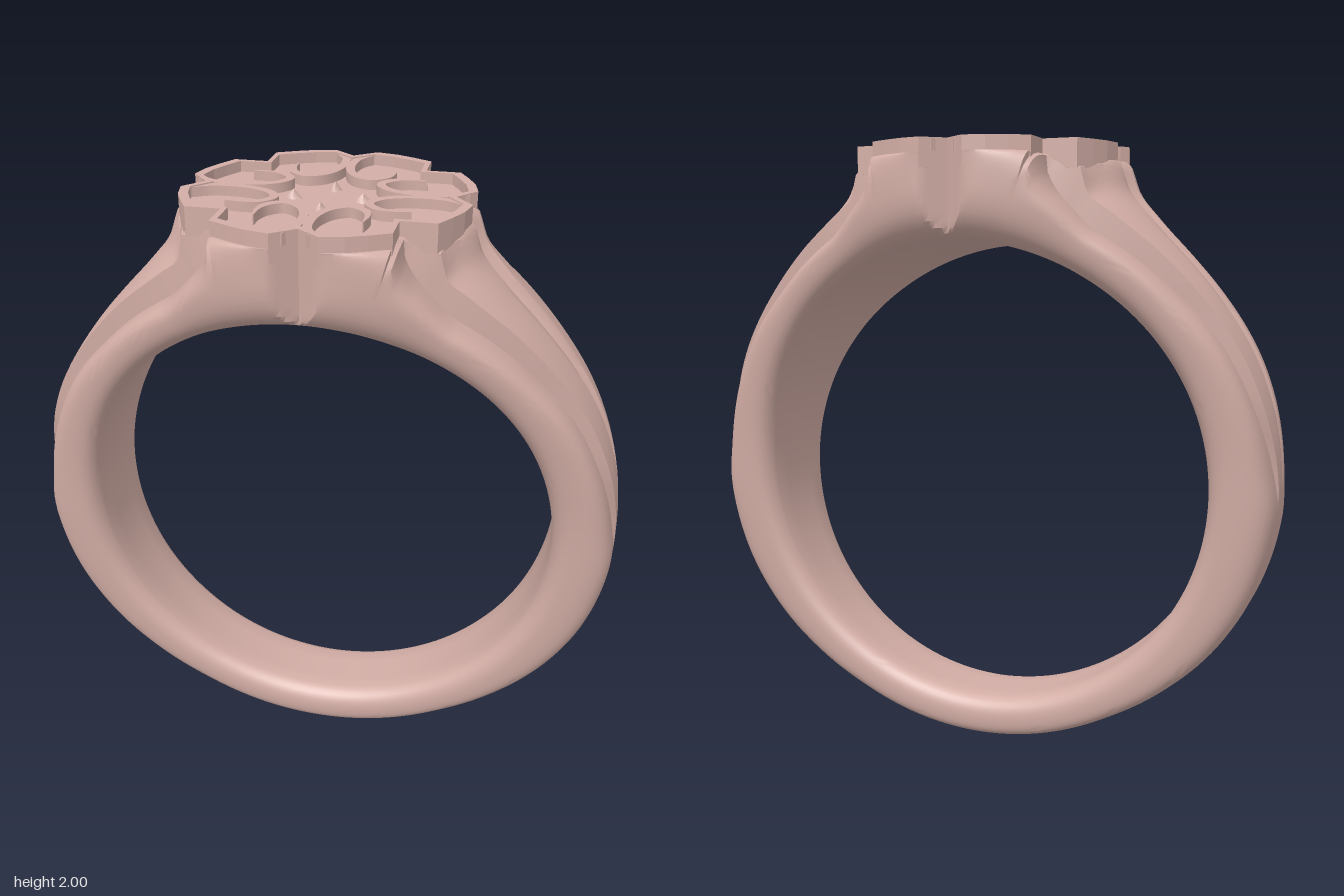
import * as THREE from 'three';
import { toCreasedNormals } from 'three/addons/utils/BufferGeometryUtils.js';

const CY = 0.917, RI = 0.778;          // centre height and radius of the finger hole
const BODY_TOP = 1.955, FLOOR = 1.965, TOP = 2.0;

// Smooth monotone interpolation through [key, value] pairs
function curve(pts) {
  const n = pts.length;
  const s = pts.slice(1).map((p, i) => (p[1] - pts[i][1]) / (p[0] - pts[i][0]));
  const m = pts.map((_, i) => (i === 0 || i === n - 1 || s[i - 1] * s[i] <= 0)
    ? 0 : 2 * s[i - 1] * s[i] / (s[i - 1] + s[i]));
  return (x) => {
    if (x <= pts[0][0]) return pts[0][1];
    if (x >= pts[n - 1][0]) return pts[n - 1][1];
    let i = 0;
    while (x > pts[i + 1][0]) i++;
    const h = pts[i + 1][0] - pts[i][0], t = (x - pts[i][0]) / h, t2 = t * t, t3 = t2 * t;
    return (2 * t3 - 3 * t2 + 1) * pts[i][1] + (t3 - 2 * t2 + t) * h * m[i]
      + (3 * t2 - 2 * t3) * pts[i + 1][1] + (t3 - t2) * h * m[i + 1];
  };
}

// Band measures by angle from the top, in degrees
const crest = curve([[0, 1.2], [22, 1.17], [23, 1.146], [25, 1.105], [27.7, 1.056], [31, 1.03], [38, 1.0],
  [46, 0.987], [54, 0.984], [67, 0.987], [88, 0.985], [97, 0.982], [109, 0.976], [122, 0.96],
  [140, 0.93], [153, 0.917], [180, 0.915]]);
const valley = curve([[14.1, 1.1], [16, 1.02], [20, 0.963], [30, 0.908], [46, 0.911], [59, 0.93],
  [72, 0.944], [85, 0.964], [94, 0.982]]);
const seam = curve([[0, 0.447], [3.8, 0.447], [7.5, 0.43], [14, 0.355], [14.2, 0.265], [20, 0.26], [30, 0.245],
  [42, 0.215], [55, 0.18], [72, 0.14], [92, 0.068], [110, 0.07], [140, 0.08], [180, 0.08]]);
const halfWidth = curve([[0, 0.45], [6, 0.447], [14, 0.425], [28, 0.36], [40, 0.32], [52, 0.285], [70, 0.24],
  [84, 0.215], [98, 0.2], [127, 0.172], [160, 0.152], [180, 0.15]]);
const innerWidth = curve([[0, 0.33], [14, 0.325], [30, 0.295], [52, 0.23], [70, 0.185], [98, 0.145],
  [127, 0.12], [180, 0.1]]);
const sideRadius = curve([[0, 0.93], [14, 0.92], [30, 0.86], [60, 0.85], [180, 0.845]]);
const grooveWidth = curve([[0, 0.07], [25, 0.06], [50, 0.045], [102, 0.012], [180, 0.012]]);
const grooveDepth = curve([[20, 0], [32, 0.03], [60, 0.025], [102, 0]]);
const edgeInset = curve([[0, 0.052], [0.07, 0], [0.14, 0.017], [0.25, 0.07]]);
const insetFade = curve([[24, 1], [50, 0]]);

// Half of a cross-section as [z, r], from the outer middle to the inner middle
function halfSection(a) {
  const cap = (BODY_TOP - CY) / Math.cos(Math.min(a, 60) * Math.PI / 180);
  const g = seam(a), w = halfWidth(a), gw = Math.min(grooveWidth(a), g * 0.6);
  const R = Math.min(cap, crest(a));
  const V = a < 14.1 ? cap : a > 94 ? R : Math.min(R, valley(a));
  const pts = [];
  const zs = [0, gw / 2, gw];
  for (let k = 1; k <= 6; k++) zs.push(gw + (g - gw) * k / 6);
  for (const z of zs) {
    const lobe = a > 14.1 ? crest(a + 52 * edgeInset(z) * insetFade(a)) : cap;
    const r = Math.min(cap, lobe) - grooveDepth(a) * Math.max(0, 1 - z / gw);
    pts.push([z, Math.max(V, r - (R - V) * 0.3 * (z / g) ** 2)]);
  }
  // step down to the flank, then round over to the side and into the hole
  const rs = sideRadius(a);
  const outer = new THREE.CubicBezierCurve(
    new THREE.Vector2(Math.min(g + 0.006, w), V), new THREE.Vector2(g + (w - g) * 0.8, V),
    new THREE.Vector2(w, V - 0.25 * (V - rs)), new THREE.Vector2(w, rs));
  const lower = new THREE.QuadraticBezierCurve(
    new THREE.Vector2(w, rs), new THREE.Vector2(w, RI + 0.015), new THREE.Vector2(innerWidth(a), RI));
  outer.getPoints(10).forEach((p) => pts.push([p.x, p.y]));
  lower.getPoints(7).slice(1).forEach((p) => pts.push([p.x, p.y]));
  pts.push([innerWidth(a) / 2, RI], [0, RI]);
  return pts;
}

function bandGeometry() {
  const angles = [];
  for (let a = 0; a < 30; a++) angles.push(a);
  angles.push(14.2);
  for (let a = 30; a <= 180; a += 2) angles.push(a);
  angles.sort((p, q) => p - q);
  const ring = [...angles.slice(1, -1).reverse().map((a) => -a), ...angles]; // open at the bottom
  const pos = [], idx = [];
  let n = 0;
  for (const a of ring) {
    const half = halfSection(Math.abs(a));
    const loop = [...half, ...half.slice(1, -1).reverse().map(([z, r]) => [-z, r])];
    n = loop.length;
    const t = a * Math.PI / 180;
    for (const [z, r] of loop) {
      const x = r * Math.sin(t);
      // upright V notch in the front and back of the head
      const limit = Math.abs(a) < 8 ? 0.39 + Math.abs(x) * 0.81 : 1;
      pos.push(x, CY + r * Math.cos(t), THREE.MathUtils.clamp(z, -limit, limit));
    }
  }
  for (let i = 0; i < ring.length; i++) {
    const i2 = (i + 1) % ring.length;
    for (let j = 0; j < n; j++) {
      const j2 = (j + 1) % n;
      const A = i * n + j, B = i * n + j2, C = i2 * n + j, D = i2 * n + j2;
      idx.push(A, B, C, B, D, C);
    }
  }
  const geo = new THREE.BufferGeometry();
  geo.setAttribute('position', new THREE.Float32BufferAttribute(pos, 3));
  geo.setIndex(idx);
  return toCreasedNormals(geo, 0.6);
}

// Outline of the head: one eighth, mirrored and turned four times
function headOutline(scale) {
  const eighth = [[0.39, 0], [0.447, 0.07], [0.432, 0.14], [0.405, 0.2], [0.372, 0.262], [0.262, 0.262]];
  const quarter = [...eighth, ...eighth.slice(1, -1).reverse().map(([x, y]) => [y, x])];
  const pts = [];
  for (let k = 0; k < 4; k++) {
    for (const [x, y] of quarter) {
      pts.push(new THREE.Vector2(x, y).multiplyScalar(scale).rotateAround(new THREE.Vector2(), k * Math.PI / 2));
    }
  }
  return pts;
}

// Upright extrusion between two heights
function slab(shape, y0, y1) {
  const geo = new THREE.ExtrudeGeometry(shape, { depth: y1 - y0, bevelEnabled: false });
  return geo.rotateX(-Math.PI / 2).translate(0, y0, 0);
}

// Curved strip that swells in the middle and tapers to its tip
function scrollShape(side) {
  const path = new THREE.SplineCurve([[0.42, 0.05], [0.36, 0.018], [0.26, 0.015], [0.18, 0.045],
    [0.145, 0.1], [0.175, 0.147], [0.225, 0.163], [0.28, 0.16]].map(([x, y]) => new THREE.Vector2(x, y * side)));
  const left = [], right = [];
  for (let i = 0; i <= 32; i++) {
    const t = i / 32, p = path.getPoint(t), d = path.getTangent(t);
    const w = 0.002 + 0.012 * Math.min(1, (1 - t) * 3.5);
    left.push(new THREE.Vector2(p.x - d.y * w, p.y + d.x * w));
    right.unshift(new THREE.Vector2(p.x + d.y * w, p.y - d.x * w));
  }
  return new THREE.Shape([...left, ...right]);
}

export function createModel() {
  const ring = new THREE.Group();
  ring.name = 'signetRing';
  const metal = new THREE.MeshStandardMaterial({ color: 0xd2ada5 });
  const add = (geo, name, turn = 0) => {
    const mesh = new THREE.Mesh(geo, metal);
    mesh.name = name;
    mesh.rotation.y = turn;
    ring.add(mesh);
  };

  add(bandGeometry(), 'band');

  // Head plate with raised rim
  add(slab(new THREE.Shape(headOutline(1)), 1.91, FLOOR), 'headPlate');
  const rim = new THREE.Shape(headOutline(1));
  rim.holes.push(new THREE.Path(headOutline(0.935).reverse()));
  add(slab(rim, FLOOR, TOP), 'headRim');

  // Scrolls and small diamond studs on the head
  const scrolls = [1, -1].map((s) => toCreasedNormals(slab(scrollShape(s), FLOOR - 0.005, TOP - 0.004), 0.6));
  const stud = new THREE.ConeGeometry(0.03, 0.03, 4).scale(1, 1, 0.75).translate(0.108, FLOOR + 0.013, 0);
  for (let k = 0; k < 4; k++) {
    const turn = k * Math.PI / 2;
    scrolls.forEach((geo) => add(geo, 'scroll', turn));
    add(stud, 'diamondStud', turn);
  }
  return ring;
}
